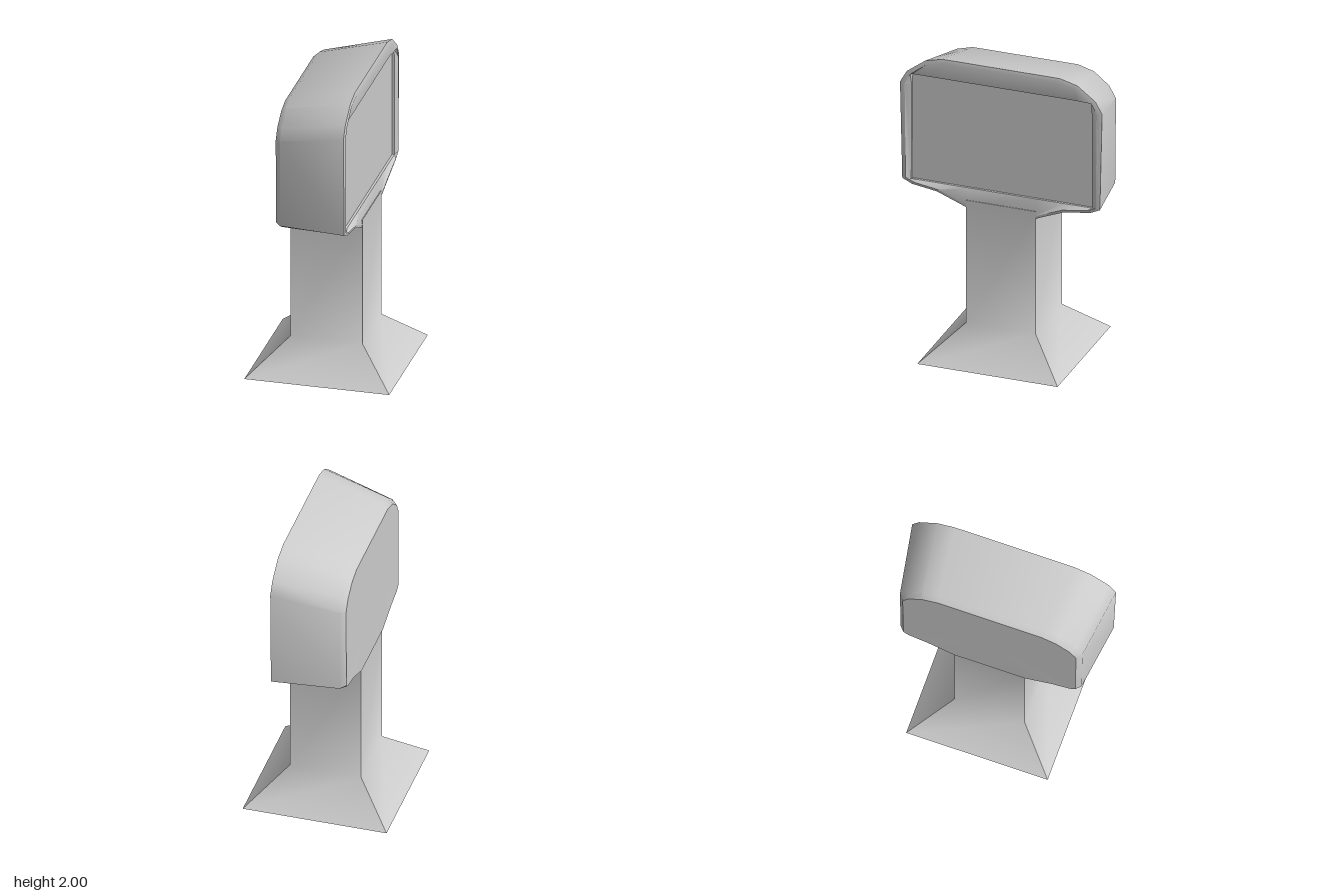
import * as THREE from 'three';
import { toCreasedNormals } from 'three/addons/utils/BufferGeometryUtils.js';

const material = new THREE.MeshStandardMaterial({ color: 0xcccccc });

// Skins a series of equal-length closed rings, optionally closing either end
function loft(rings, crease, capStart, capEnd) {
  const n = rings[0].length;
  const positions = rings.flat(2);
  const index = [];
  for (let r = 0; r < rings.length - 1; r++) {
    for (let i = 0; i < n; i++) {
      const j = (i + 1) % n;
      const a = r * n + i, b = r * n + j;
      index.push(a, b, b + n, a, b + n, a + n);
    }
  }
  const cap = (r, flip) => {
    const center = [0, 1, 2].map(k => rings[r].reduce((s, p) => s + p[k], 0) / n);
    const c = positions.length / 3;
    positions.push(...center);
    for (let i = 0; i < n; i++) {
      const a = r * n + i, b = r * n + (i + 1) % n;
      if (flip) index.push(c, b, a);
      else index.push(c, a, b);
    }
  };
  if (capStart) cap(0, true);
  if (capEnd) cap(rings.length - 1, false);
  const g = new THREE.BufferGeometry();
  g.setAttribute('position', new THREE.Float32BufferAttribute(positions, 3));
  g.setIndex(index);
  return toCreasedNormals(g, crease);
}

// Mirrors a half outline of [z, y, optional x] into a full ring at depth x
function headRing(x, half) {
  const right = half.map(([z, y, px = x]) => [px, y, -z]);
  const left = half.map(([z, y, px = x]) => [px, y, z]).reverse();
  return [...right, ...left];
}

// Square ring for the pedestal
const squareRing = (s, y) => [[s, y, s], [s, y, -s], [-s, y, -s], [-s, y, s]];

export function createModel() {
  const group = new THREE.Group();
  const add = (name, geometry) => {
    const mesh = new THREE.Mesh(geometry, material);
    mesh.name = name;
    group.add(mesh);
    return mesh;
  };

  // Post with flared square foot
  add('pedestal', loft(
    [squareRing(0.465, 0), squareRing(0.23, 0.22), squareRing(0.23, 1.06)], 0.85, true, true));

  // Head outlines, each from the post up one side to the top
  const backFace = [[0.23, 1.03], [0.41, 1.1, -0.238], [0.53, 1.115], [0.565, 1.14],
    [0.57, 1.7], [0.53, 1.77], [0.44, 1.84], [0.34, 1.87]];
  const backEdge = [[0.23, 1.01], [0.42, 1.09], [0.55, 1.105], [0.595, 1.13],
    [0.6, 1.71], [0.555, 1.79], [0.455, 1.87], [0.35, 1.9]];
  const frontEdge = [[0.23, 1.01], [0.42, 1.09, 0.235], [0.59, 1.11], [0.655, 1.14],
    [0.67, 1.8], [0.625, 1.88], [0.505, 1.97], [0.39, 2]];
  const lip = [[0.23, 1.03, 0.23], [0.41, 1.105, 0.239], [0.57, 1.125], [0.63, 1.15],
    [0.637, 1.79], [0.6, 1.865], [0.49, 1.95], [0.37, 1.975]];
  const screenEdge = [[0.23, 1.14], [0.41, 1.14], [0.54, 1.14], [0.6, 1.14],
    [0.597, 1.79], [0.595, 1.86], [0.49, 1.86], [0.37, 1.86]];

  // Tapered casing with bevelled back, front lip and screen recess
  add('casing', loft([
    headRing(-0.235, backFace),
    headRing(-0.2, backEdge),
    headRing(0.226, frontEdge),
    headRing(0.232, lip),
    headRing(0.215, screenEdge),
    headRing(0.2, screenEdge),
  ], 0.6, true, false));

  // Flat recessed screen
  const screen = add('screen', new THREE.PlaneGeometry(1.2, 0.72));
  screen.rotation.y = Math.PI / 2;
  screen.position.set(0.2, 1.5, 0);

  return group;
}
